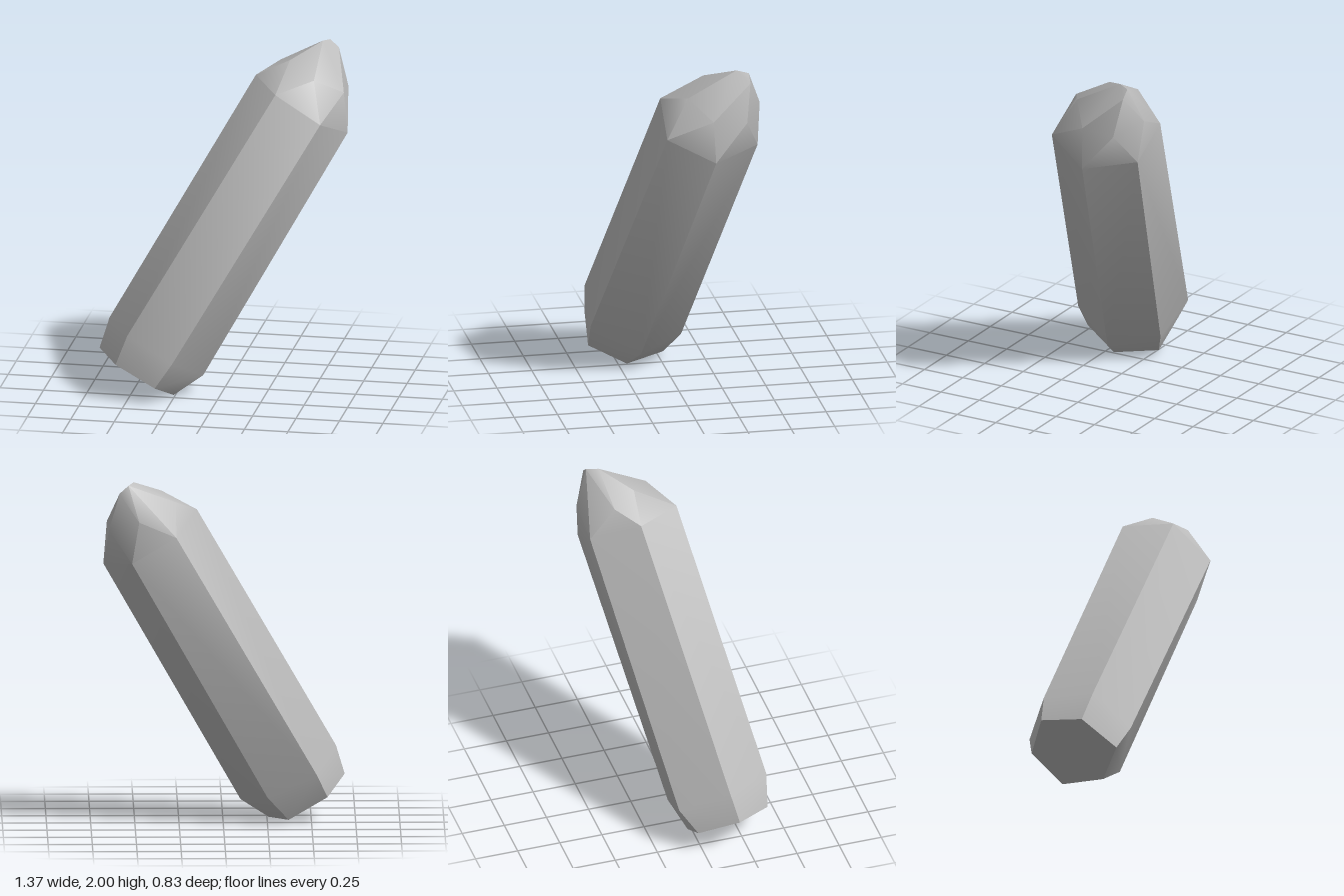
import * as THREE from 'three';
import { toCreasedNormals } from 'three/addons/utils/BufferGeometryUtils.js';
import { ConvexGeometry } from 'three/addons/geometries/ConvexGeometry.js';

// Six-sided cross-sections along the leaning crystal
const baseRing = [
  [-0.69, 0.25, 0.18], [-0.56, 0.22, 0.385], [-0.33, 0.10, 0.41],
  [-0.26, 0.00, 0.20], [-0.37, 0.02, -0.03], [-0.59, 0.15, -0.035],
];
const lowerRing = [
  [-0.64, 0.42, 0.14], [-0.49, 0.40, 0.40], [-0.23, 0.25, 0.415],
  [-0.10, 0.11, 0.15], [-0.25, 0.16, -0.11], [-0.53, 0.29, -0.13],
];
const upperRing = [
  [0.15, 1.82, -0.14], [0.31, 1.79, 0.12], [0.57, 1.63, 0.13],
  [0.68, 1.51, -0.13], [0.52, 1.55, -0.40], [0.27, 1.70, -0.405],
];
// Irregular facets closing in on the off-centre point
const tip = [
  [0.27, 1.88, -0.26], [0.35, 1.925, -0.12], [0.51, 1.85, 0.0],
  [0.66, 1.75, -0.12], [0.65, 1.73, -0.315], [0.48, 1.79, -0.42],
  [0.59, 1.945, -0.345], [0.54, 1.99, -0.345], [0.51, 2.0, -0.28],
];

export function createModel() {
  const model = new THREE.Group();
  model.name = 'crystal';

  const stone = new THREE.MeshStandardMaterial({ color: 0xbcbcbc });
  stone.name = 'greyStone';

  // Faceted shaft: sharp long edges, softened shallow bends at both ends
  const points = [...baseRing, ...lowerRing, ...upperRing, ...tip]
    .map((p) => new THREE.Vector3(...p));
  const geometry = toCreasedNormals(new ConvexGeometry(points), THREE.MathUtils.degToRad(35));

  const shard = new THREE.Mesh(geometry, stone);
  shard.name = 'crystalShard';
  model.add(shard);
  return model;
}
